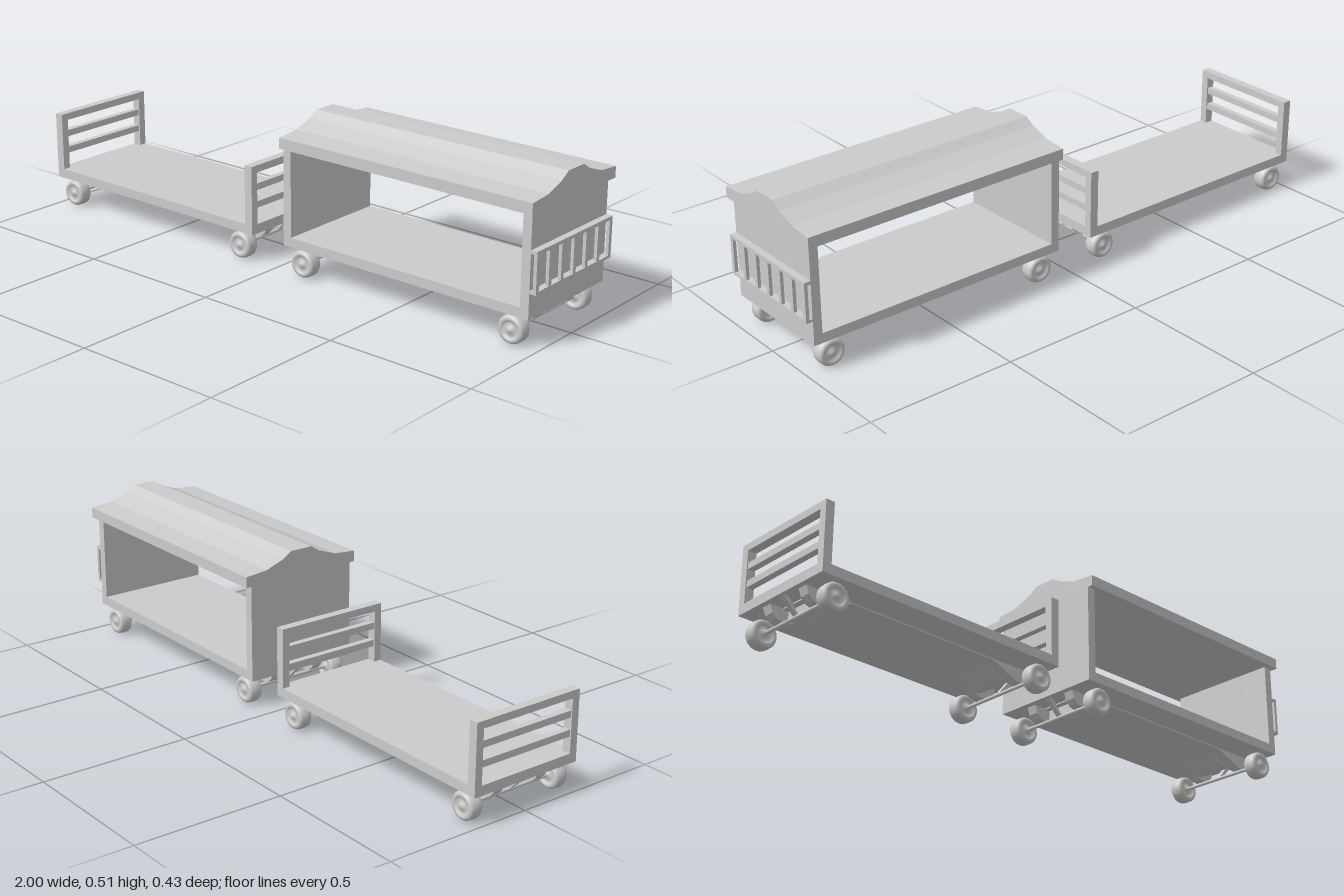
import * as THREE from 'three';

const mat = new THREE.MeshStandardMaterial({ color: 0xcccccc, side: THREE.DoubleSide });

function add(parent, name, geometry) {
  const mesh = new THREE.Mesh(geometry, mat);
  mesh.name = name;
  parent.add(mesh);
  return mesh;
}

// Box given by its limits on each axis
function box(parent, name, x0, x1, y0, y1, z0, z1) {
  const m = add(parent, name, new THREE.BoxGeometry(x1 - x0, y1 - y0, z1 - z0));
  m.position.set((x0 + x1) / 2, (y0 + y1) / 2, (z0 + z1) / 2);
  return m;
}

// Side profile in x,y extruded across z
function plate(parent, name, points, z0, z1) {
  const shape = new THREE.Shape(points.map(p => new THREE.Vector2(...p)));
  const geometry = new THREE.ExtrudeGeometry(shape, { depth: z1 - z0, bevelEnabled: false });
  add(parent, name, geometry.translate(0, 0, z0));
}

const HALF = 0.198, AXLE_Y = 0.048;

// Rounded tyre with a recessed rim and a domed hub, revolved around its axle
const wheelProfile = [
  [0, -0.025], [0.009, -0.024], [0.013, -0.018], [0.024, -0.017], [0.028, -0.022],
  [0.034, -0.0235], [0.041, -0.021], [0.0445, -0.015], [0.0455, 0],
  [0.0445, 0.015], [0.041, 0.021], [0.034, 0.0235], [0.028, 0.022],
  [0.024, 0.017], [0.013, 0.018], [0.009, 0.024], [0, 0.025],
].map(p => new THREE.Vector2(...p));
const wheelGeometry = new THREE.LatheGeometry(wheelProfile, 28).rotateX(Math.PI / 2);

// Axle, two wheels and brackets; local +x points to the outer end of the car
function createBogie() {
  const g = new THREE.Group();
  g.name = 'wheelSet';
  for (const s of [-1, 1]) {
    add(g, 'wheel', wheelGeometry).position.set(0, AXLE_Y, s * 0.167);
    const z = s * 0.084;
    plate(g, 'axleBracket', [
      [-0.135, 0.101], [-0.055, 0.07], [-0.025, 0.057], [0, 0.054],
      [0.02, 0.06], [0.035, 0.075], [0.045, 0.101],
    ], z - 0.018, z + 0.018);
  }
  add(g, 'axle', new THREE.CylinderGeometry(0.006, 0.006, 0.3, 12).rotateX(Math.PI / 2)).position.y = AXLE_Y;
  plate(g, 'centreRamp', [[-0.135, 0.101], [-0.05, 0.065], [-0.02, 0.065], [-0.02, 0.101]], -0.066, 0.066);
  plate(g, 'drawStrut', [[-0.005, 0.052], [0.006, 0.052], [0.056, 0.101], [0.036, 0.101]], -0.008, 0.008);
  return g;
}

// Deck, underframe and the two wheel sets shared by both cars
function createChassis(parent, x0, x1, wheels) {
  box(parent, 'deck', x0, x1, 0.1, 0.132, -HALF, HALF);
  box(parent, 'underframe', wheels[0], wheels[1], 0.096, 0.101, -0.102, 0.102);
  wheels.forEach((x, i) => {
    const bogie = createBogie();
    bogie.position.x = x;
    if (i === 0) bogie.rotation.y = Math.PI;
    parent.add(bogie);
  });
}

function createFlatCar() {
  const g = new THREE.Group();
  g.name = 'flatCar';
  createChassis(g, -1, -0.08, [-0.937, -0.147]);
  // Slatted rail at each end
  for (const x of [-1, -0.11]) {
    const rail = new THREE.Group();
    rail.name = 'endRail';
    g.add(rail);
    for (const s of [-1, 1]) {
      const z = s * (HALF - 0.013);
      box(rail, 'post', x, x + 0.03, 0.13, 0.33, z - 0.013, z + 0.013);
    }
    box(rail, 'topRail', x, x + 0.03, 0.306, 0.33, -0.174, 0.174);
    for (const y of [0.185, 0.245])
      box(rail, 'slat', x + 0.004, x + 0.026, y, y + 0.022, -0.174, 0.174);
  }
  return g;
}

function createRoofedCar() {
  const g = new THREE.Group();
  g.name = 'roofedCar';
  createChassis(g, 0.055, 0.978, [0.12, 0.91]);
  box(g, 'endWall', 0.055, 0.085, 0.13, 0.426, -HALF, HALF);
  box(g, 'endWall', 0.948, 0.978, 0.13, 0.426, -HALF, HALF);

  // Stepped, curved roof running the length of the car
  const half = [[0.217, 0.424], [0.217, 0.46], [0.137, 0.467], [0.073, 0.49], [0.04, 0.511]];
  const outline = [...half, ...half.map(([z, y]) => [-z, y]).reverse()];
  const roofShape = new THREE.Shape(outline.map(p => new THREE.Vector2(...p)));
  const roof = new THREE.ExtrudeGeometry(roofShape, { depth: 0.935, bevelEnabled: false });
  add(g, 'roof', roof.rotateY(Math.PI / 2)).position.x = 0.055;

  // Barred guard standing off the end wall
  const guard = new THREE.Group();
  guard.name = 'endGuard';
  g.add(guard);
  box(guard, 'guardTop', 0.977, 1, 0.302, 0.313, -HALF, HALF);
  box(guard, 'guardBottom', 0.977, 1, 0.181, 0.19, -HALF, HALF);
  for (let i = 0; i < 7; i++) {
    const z = (i - 3) * 0.0637;
    box(guard, 'guardBar', 0.989, 1, 0.19, 0.302, z - 0.007, z + 0.007);
  }
  return g;
}

export function createModel() {
  const model = new THREE.Group();
  model.name = 'wagonPair';
  model.add(createFlatCar(), createRoofedCar());
  return model;
}
